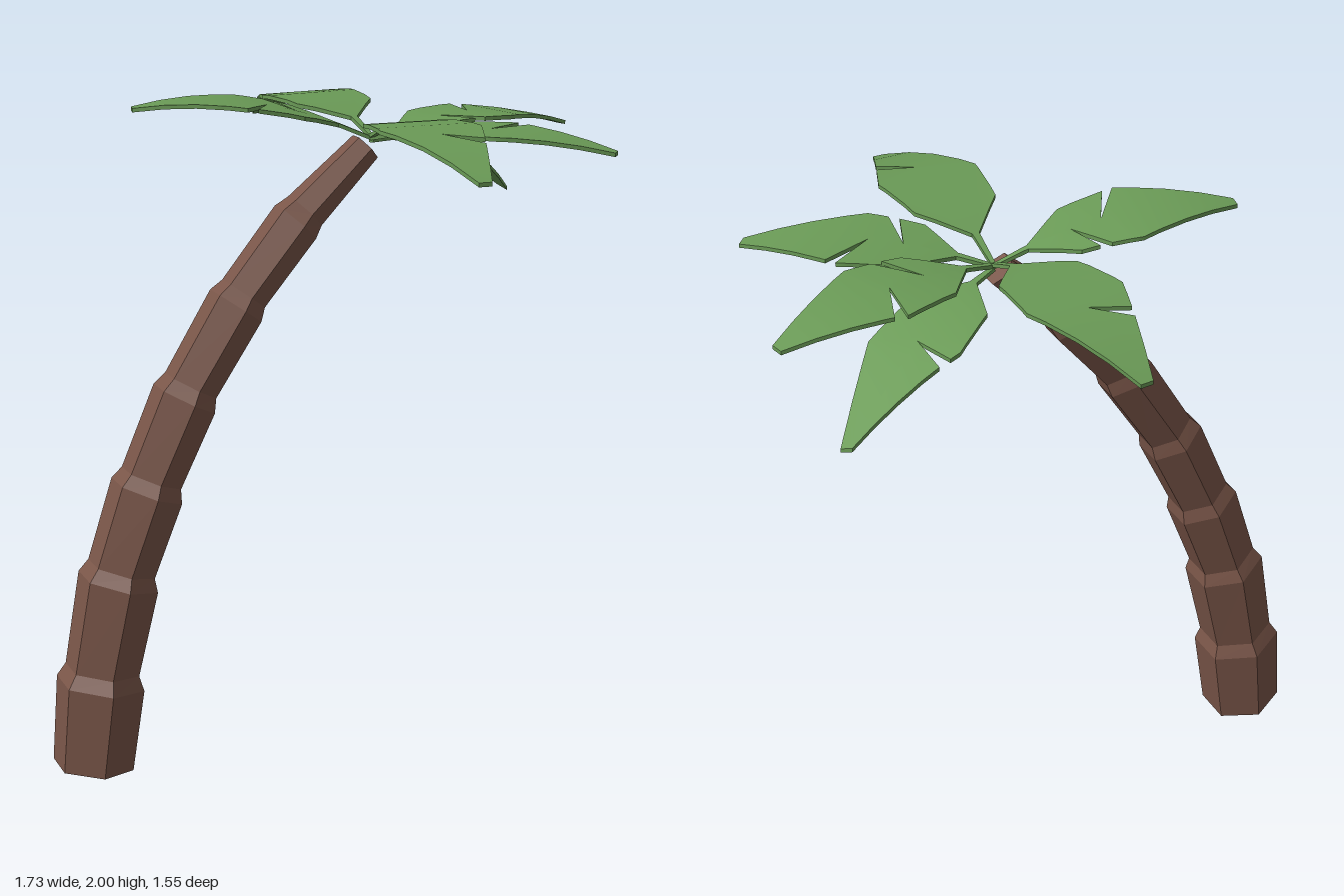
import * as THREE from 'three';
import { toCreasedNormals } from 'three/addons/utils/BufferGeometryUtils.js';

const bark = new THREE.MeshStandardMaterial({ color: 0x795548 });
bark.name = 'bark brown';
const leafGreen = new THREE.MeshStandardMaterial({ color: 0x6a9a56 });
leafGreen.name = 'leaf green';

// Centre line of the trunk, one knot per ring: x, y
const KNOTS = [
  [-0.762, 0.013], [-0.733, 0.273], [-0.67, 0.588], [-0.575, 0.862],
  [-0.453, 1.135], [-0.288, 1.404], [-0.098, 1.642], [0.125, 1.855],
];

// Six-sided trunk: each ring flares out to a knot, then pinches in just above it
function makeTrunk() {
  const curve = new THREE.CatmullRomCurve3(KNOTS.map(([x, y]) => new THREE.Vector3(x, y, -0.02)));
  const last = KNOTS.length - 1;
  const rows = 2 * last - 1;
  const geo = new THREE.CylinderGeometry(1, 1, rows, 6, rows);
  const p = geo.attributes.position;
  for (let i = 0; i < p.count; i++) {
    const row = Math.round(p.getY(i) + rows / 2);
    const knot = Math.ceil(row / 2);
    const pinched = row > 0 && row % 2 === 0;
    const flare = 0.148 - 0.0115 * knot;
    const radius = row === 0 ? 0.125 : row === rows ? 0.05 : pinched ? flare * 0.84 : flare;
    const at = (knot + (pinched ? 0.14 : 0)) / last;
    const c = curve.getPoint(at), dir = curve.getTangent(at);
    const u = p.getX(i) * radius;
    p.setXYZ(i, c.x + u * dir.y, c.y - u * dir.x, c.z + p.getZ(i) * radius);
  }
  const flat = geo.toNonIndexed();
  flat.computeVertexNormals();
  const mesh = new THREE.Mesh(flat, bark);
  mesh.name = 'trunk';
  return mesh;
}

// Half of a leaf from stem to tip: fraction of length, half width
const HALF = [[0, 0.007], [0.14, 0.011], [0.31, 0.128], [0.55, 0.155], [1, 0.02]];
const HUB = new THREE.Vector3(0.15, 0, -0.037);
const THICK = 0.012;
const BENDS = 8;

const mix = (a, b, s) => [a[0] + (b[0] - a[0]) * s, a[1] + (b[1] - a[1]) * s];

function halfWidth(t) {
  const k = HALF.findIndex((q) => q[0] >= t);
  const [t0, w0] = HALF[k - 1], [t1, w1] = HALF[k];
  return THREE.MathUtils.mapLinear(t, t0, t1, w0, w1);
}

// One edge of a leaf, with a torn notch reaching the midrib at each given fraction
function leafEdge(side, notches) {
  const pts = HALF.map(([t, w]) => ({ key: t, q: [t, w * side] }));
  notches.forEach((m) => {
    const lip = (t) => ({ key: t, q: [t, halfWidth(t) * side] });
    pts.push(lip(m - 0.023), { key: m, q: [m - 0.09, 0] }, lip(m + 0.023));
  });
  return pts.sort((a, b) => a.key - b.key).map((e) => e.q);
}

// Keep the part of a convex polygon where f >= 0
function clip(poly, f) {
  const out = [];
  poly.forEach((a, i) => {
    const b = poly[(i + 1) % poly.length], fa = f(a), fb = f(b);
    if (fa >= 0) out.push(a);
    if ((fa > 0 && fb < 0) || (fa < 0 && fb > 0)) out.push(mix(a, b, fa / (fa - fb)));
  });
  return out;
}

// Thin leaf with height base + rise * u + fall * u * u; heading 0 is +x and 90 is -z,
// twist turns the direction in which it bends
function makeFrond({ name, heading, length, base, rise, fall, left = [], right = [], twist = 0 }) {
  const h = THREE.MathUtils.degToRad(heading), w = THREE.MathUtils.degToRad(twist);
  // fraction u along the bend for a leaf point [fraction of length, offset to the left]
  const along = (q) => q[0] + (q[1] / length) * Math.tan(w);
  const place = (q, drop) => {
    const u = THREE.MathUtils.clamp(along(q), 0, 1.03), d = q[0] * length;
    return [
      HUB.x + d * Math.cos(h) - q[1] * Math.sin(h),
      base + rise * u + fall * u * u - drop,
      HUB.z - d * Math.sin(h) - q[1] * Math.cos(h),
    ];
  };
  const top = (q) => place(q, 0), low = (q) => place(q, THICK);
  const pos = [];
  const tri = (a, b, c) => pos.push(...a, ...b, ...c);

  // counter-clockwise outline: out along the right edge, back along the left
  const loop = [...leafEdge(-1, right), ...leafEdge(1, left).reverse()];
  const stations = Array.from({ length: BENDS - 1 }, (_, i) => (i + 1) / BENDS);
  const bounds = [-9, ...stations, 9];

  // upper and lower faces, cut into strips at the bends
  const faces = THREE.ShapeUtils.triangulateShape(loop.map((q) => new THREE.Vector2(...q)), []);
  for (const face of faces) {
    const corners = face.map((i) => loop[i]);
    for (let k = 0; k <= stations.length; k++) {
      const part = clip(clip(corners, (q) => along(q) - bounds[k]), (q) => bounds[k + 1] - along(q));
      for (let j = 1; j < part.length - 1; j++) {
        tri(top(part[0]), top(part[j]), top(part[j + 1]));
        tri(low(part[0]), low(part[j + 1]), low(part[j]));
      }
    }
  }
  // rim
  loop.forEach((a, i) => {
    const b = loop[(i + 1) % loop.length], ua = along(a), ub = along(b);
    const cuts = stations.map((s) => (s - ua) / (ub - ua)).filter((s) => s > 0 && s < 1);
    const steps = [0, ...cuts, 1].sort((m, n) => m - n);
    for (let j = 0; j < steps.length - 1; j++) {
      const c = mix(a, b, steps[j]), d = mix(a, b, steps[j + 1]);
      tri(top(c), low(c), low(d));
      tri(top(c), low(d), top(d));
    }
  });
  const geo = new THREE.BufferGeometry();
  geo.setAttribute('position', new THREE.Float32BufferAttribute(pos, 3));
  const mesh = new THREE.Mesh(toCreasedNormals(geo, 0.6), leafGreen);
  mesh.name = name;
  return mesh;
}

const FRONDS = [
  { name: 'backFrond', heading: 97, length: 0.743, base: 1.888, rise: 0.34, fall: -0.358, left: [0.71] },
  { name: 'frontFrond', heading: 270, length: 0.807, base: 1.888, rise: 0.34, fall: -0.358, left: [0.725] },
  { name: 'rightFrond', heading: 168.8, length: 0.713, base: 1.882, rise: 0.33, fall: -0.227, left: [0.53], right: [0.405] },
  { name: 'leftFrond', heading: 12, length: 0.725, base: 1.884, rise: 0.2, fall: -0.21, left: [0.58], right: [0.415] },
  { name: 'backLeftFrond', heading: 30.4, length: 0.702, base: 1.875, rise: 0.009, fall: -0.238, left: [0.615], twist: -30.4 },
  { name: 'frontLeftFrond', heading: -39.3, length: 0.743, base: 1.882, rise: 0.165, fall: -0.177, left: [0.58], right: [0.44] },
];

export function createModel() {
  const group = new THREE.Group();
  group.name = 'palmTree';
  group.add(makeTrunk());
  const crown = new THREE.Group();
  crown.name = 'crown';
  FRONDS.forEach((f) => crown.add(makeFrond(f)));
  group.add(crown);
  return group;
}
